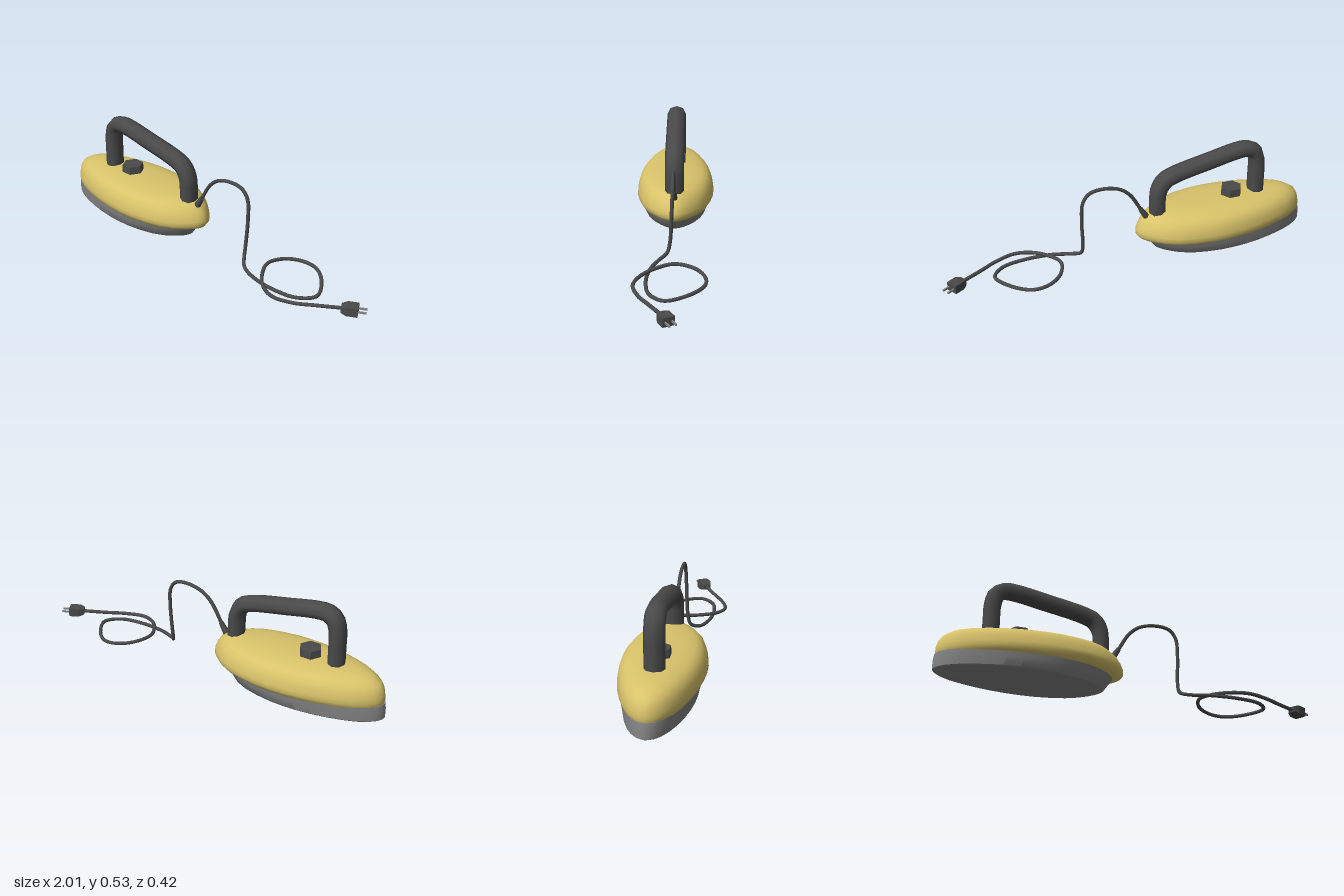
import * as THREE from 'three';
import { toCreasedNormals } from 'three/addons/utils/BufferGeometryUtils.js';

const mat = (name, color) => new THREE.MeshStandardMaterial({ name, color });
const V = (p) => new THREE.Vector3(...p);

// Half plan outline, tip to heel: [share of length, share of half width]
const PLAN = [[0, 0], [0.02, 0.24], [0.11, 0.56], [0.28, 0.84], [0.46, 0.985], [0.63, 0.99],
  [0.82, 0.8], [0.94, 0.44], [0.99, 0.16], [1, 0]];

// Stacked plan outlines; each level is [y, tip x, heel x, half width]
function hull(levels, crease) {
  const curve = new THREE.CatmullRomCurve3(PLAN.map(([t, w]) => new THREE.Vector3(t, 0, w)));
  const half = curve.getPoints(18).reverse();
  const ring = [...half, ...half.slice(1, -1).reverse().map((p) => new THREE.Vector3(p.x, 0, -p.z))];
  const n = ring.length, pos = [], idx = [];
  for (const [y, tip, heel, w] of levels) {
    for (const p of ring) pos.push(tip + p.x * (heel - tip), y, p.z * w);
  }
  const last = levels.length - 1;
  const centre = (k) => pos.push((levels[k][1] + levels[k][2]) / 2, levels[k][0], 0);
  centre(0);
  centre(last);
  const bottom = n * levels.length, top = bottom + 1;
  for (let i = 0; i < n; i++) {
    const j = (i + 1) % n;
    for (let k = 0; k < last; k++) {
      const a = k * n + i, b = k * n + j;
      idx.push(a, a + n, b, b, a + n, b + n);
    }
    idx.push(bottom, i, j, top, last * n + j, last * n + i);
  }
  const g = new THREE.BufferGeometry();
  g.setAttribute('position', new THREE.Float32BufferAttribute(pos, 3));
  g.setIndex(idx);
  return toCreasedNormals(g, crease);
}

export function createModel() {
  const model = new THREE.Group();
  model.name = 'clothesIron';
  const yellow = mat('yellow enamel', 0xd9c36a);
  const dark = mat('dark plastic', 0x4a4a4a);
  const steel = mat('grey metal', 0x858585);

  const add = (name, geometry, material, parent = model) => {
    const m = new THREE.Mesh(geometry, material);
    m.name = name;
    parent.add(m);
    return m;
  };
  const tube = (points, segments, radius, sides) =>
    new THREE.TubeGeometry(new THREE.CatmullRomCurve3(points.map(V)), segments, radius, sides);

  // Sole plate and domed housing
  add('solePlate', hull([
    [0, -0.99, -0.15, 0.168], [0.006, -1, -0.14, 0.174], [0.05, -1, -0.11, 0.184], [0.085, -0.995, -0.085, 0.19],
  ], 0.6), steel);
  add('housing', hull([
    [0.073, -0.985, -0.07, 0.188], [0.083, -0.99, -0.05, 0.199], [0.102, -0.992, -0.036, 0.21],
    [0.125, -0.99, -0.038, 0.209], [0.155, -0.982, -0.05, 0.203], [0.182, -0.965, -0.068, 0.193],
    [0.205, -0.93, -0.095, 0.174], [0.218, -0.89, -0.125, 0.148], [0.227, -0.82, -0.18, 0.108],
    [0.232, -0.68, -0.3, 0.055],
  ], 0.9), yellow);

  // Handle, slightly deeper than it is thick
  const handle = add('handle', tube([
    [-0.727, 0.2, 0], [-0.727, 0.31, 0], [-0.725, 0.4, 0], [-0.708, 0.458, 0], [-0.67, 0.483, 0],
    [-0.61, 0.483, 0], [-0.45, 0.455, 0], [-0.25, 0.415, 0], [-0.192, 0.39, 0], [-0.162, 0.34, 0],
    [-0.155, 0.28, 0], [-0.155, 0.19, 0],
  ], 36, 0.044, 8), dark);
  handle.scale.z = 1.16;

  // Hexagonal heat dial
  const dial = add('heatDial', toCreasedNormals(new THREE.CylinderGeometry(0.057, 0.06, 0.05, 6), 0.3), dark);
  dial.rotation.y = Math.PI / 6;
  dial.position.set(-0.583, 0.248, 0);

  // Cord with its sleeve
  add('cordSleeve', new THREE.CylinderGeometry(0.013, 0.018, 0.07, 10), dark)
    .position.set(-0.078, 0.222, 0);
  model.children.at(-1).rotation.z = -0.55;
  add('cord', tube([
    [-0.09, 0.2, 0], [-0.058, 0.255, 0], [0, 0.35, 0], [0.06, 0.397, 0], [0.15, 0.417, 0], [0.22, 0.405, 0],
    [0.255, 0.36, 0], [0.263, 0.25, 0.004], [0.257, 0.1, 0.012], [0.262, 0.045, 0.026], [0.3, 0.02, 0.068],
    [0.4, 0.014, 0.108], [0.55, 0.012, 0.12], [0.67, 0.012, 0.095], [0.73, 0.013, 0.025], [0.68, 0.015, -0.08],
    [0.6, 0.02, -0.155], [0.545, 0.025, -0.17], [0.48, 0.031, -0.155], [0.42, 0.038, -0.105],
    [0.388, 0.042, -0.015], [0.42, 0.037, 0.065], [0.49, 0.027, 0.145], [0.58, 0.02, 0.18],
    [0.69, 0.018, 0.15], [0.78, 0.021, 0.098], [0.9, 0.027, 0.03],
  ], 160, 0.0095, 8), dark);

  // Plug: tapered collar, block and two prongs
  const plug = new THREE.Group();
  plug.name = 'plug';
  plug.position.set(0.925, 0.027, 0.017);
  plug.rotation.y = 0.5;
  model.add(plug);
  const block = new THREE.BoxGeometry(0.082, 0.046, 0.062, 3, 1, 1);
  const p = block.attributes.position;
  for (let i = 0; i < p.count; i++) {
    if (p.getX(i) < -0.04) {
      p.setY(i, p.getY(i) * 0.65);
      p.setZ(i, p.getZ(i) * 0.65);
    }
  }
  add('plugBlock', toCreasedNormals(block, 0.2), dark, plug);
  for (const s of [-1, 1]) {
    add('prong', new THREE.BoxGeometry(0.045, 0.009, 0.008), steel, plug).position.set(0.06, 0, s * 0.017);
  }
  return model;
}
